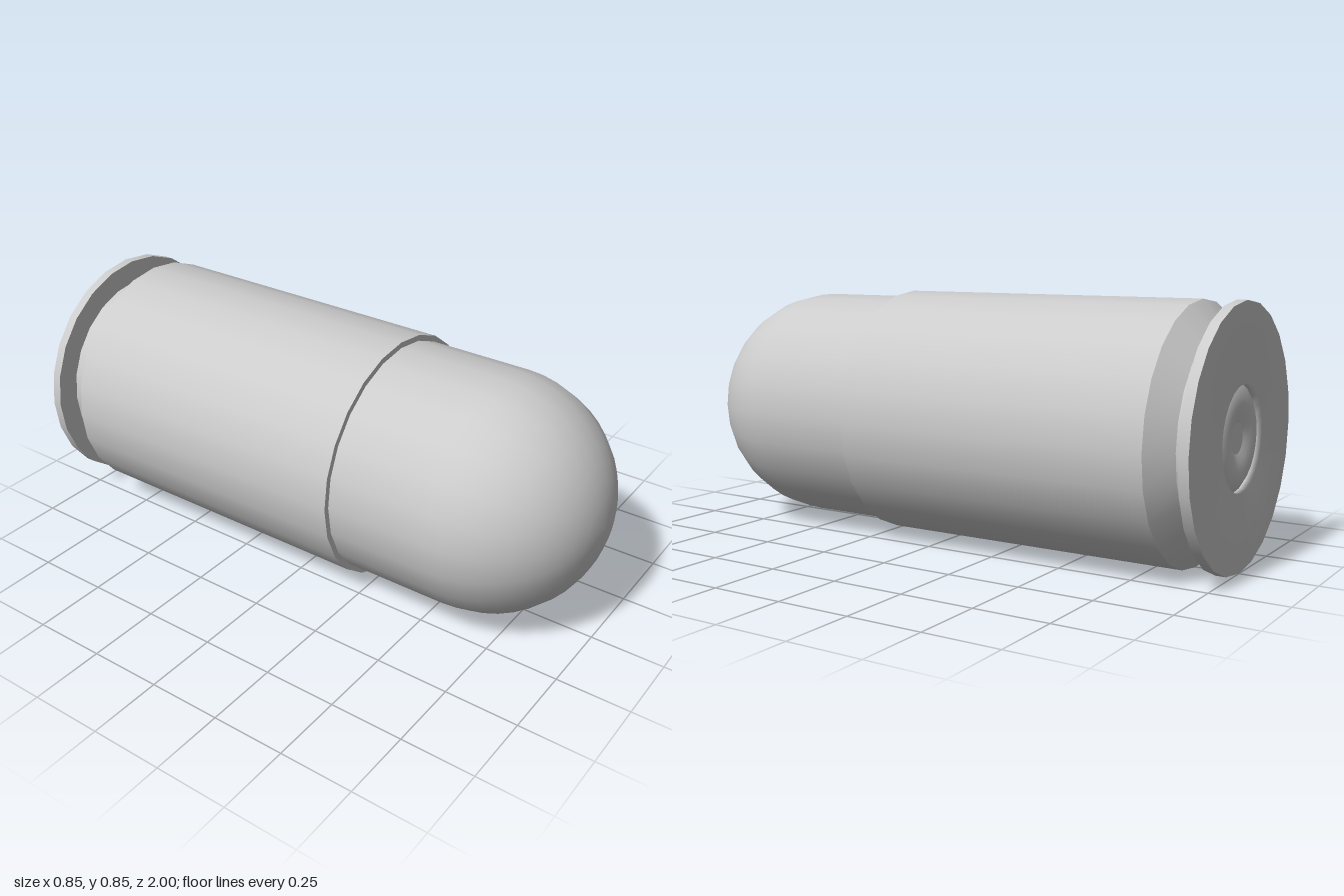
import * as THREE from 'three';

const SIDES = 24;
const R = 0.424;        // case and rim radius
const TIP_R = 0.404;    // rounded nose radius

export function createModel() {
  const model = new THREE.Group();
  const material = new THREE.MeshStandardMaterial({ color: 0xcccccc });

  // Each strip is a smooth run of [radius, z] points from back to front; edges between strips stay sharp.
  function turned(name, strips) {
    const part = new THREE.Group();
    part.name = name;
    strips.forEach((strip, i) => {
      const points = strip.map(([r, z]) => new THREE.Vector2(r, z));
      const geometry = new THREE.LatheGeometry(points, SIDES).rotateX(Math.PI / 2);
      const mesh = new THREE.Mesh(geometry, material);
      mesh.name = `${name}Surface${i + 1}`;
      part.add(mesh);
    });
    part.position.y = R;
    model.add(part);
  }

  // Small dished cap in the middle of the base
  turned('primer', [
    [[0, -0.98], [0.05, -0.98]],
    [[0.05, -0.98], [0.075, -0.988], [0.11, -0.994], [0.145, -0.99], [0.17, -0.975]],
  ]);

  // Base disc with a softened inner edge and a thin outer rim
  turned('baseRim', [
    [[0.17, -0.975], [0.17, -0.999], [R, -1]],
    [[R, -1], [R, -0.967]],
    [[R, -0.967], [0.343, -0.967]],
  ]);

  // Groove and bevel ahead of the rim
  turned('extractorGroove', [
    [[0.343, -0.967], [0.343, -0.927]],
    [[0.343, -0.927], [R, -0.858]],
  ]);

  // Straight case with a flat mouth
  turned('case', [
    [[R, -0.858], [R, 0.235]],
    [[R, 0.235], [TIP_R, 0.235]],
  ]);

  // Nose: short cylinder running smoothly into a dome
  const nose = [[TIP_R, 0.2]];
  const steps = 12;
  for (let i = 0; i <= steps; i++) {
    const a = (i / steps) * Math.PI / 2;
    nose.push([i === steps ? 0 : TIP_R * Math.cos(a), 1 - TIP_R + TIP_R * Math.sin(a)]);
  }
  turned('nose', [nose]);

  return model;
}
